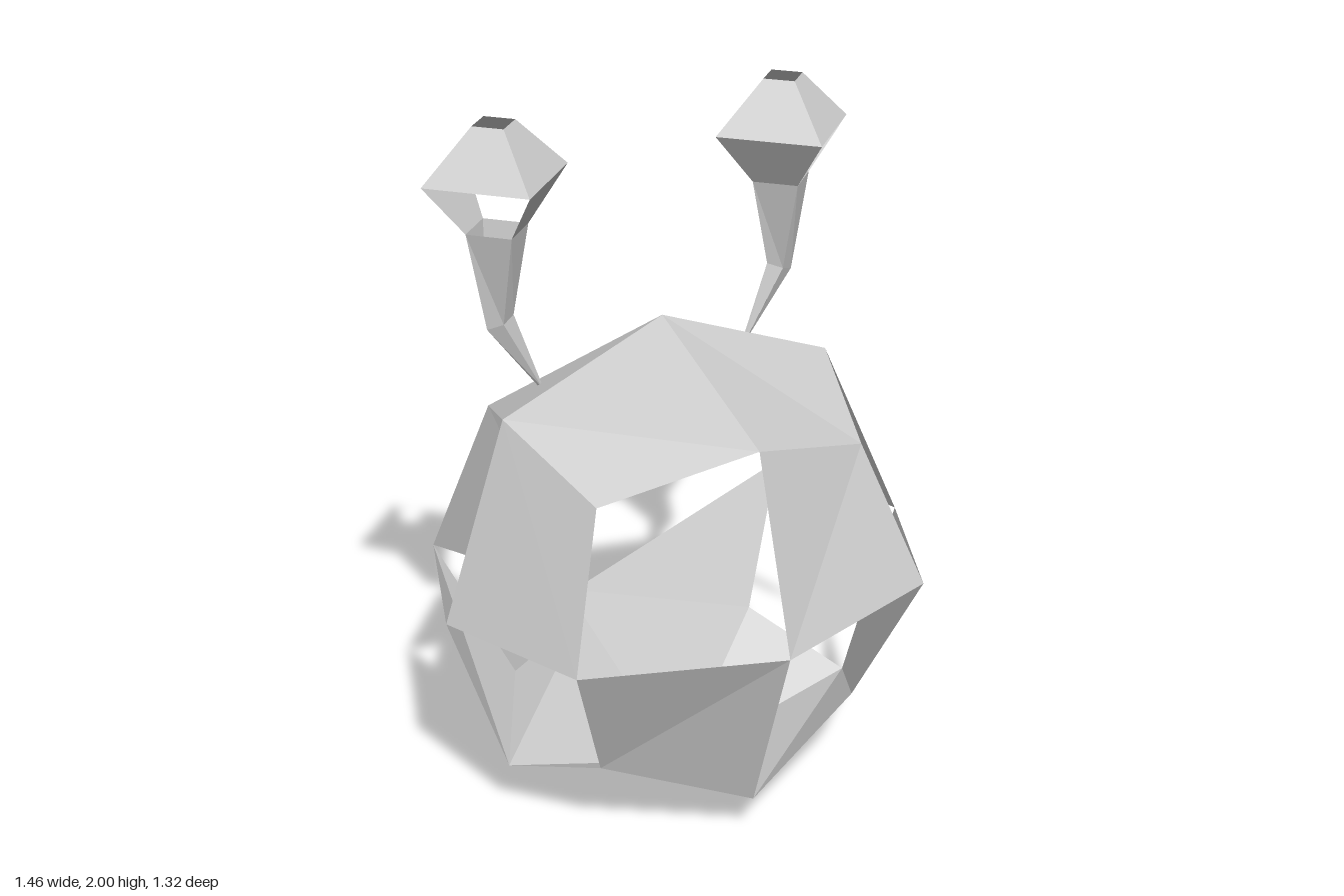
import * as THREE from 'three';

const material = new THREE.MeshStandardMaterial({ color: 0xcccccc, flatShading: true, side: THREE.DoubleSide });

// Flat-shaded mesh from a list of quads (each four [x, y, z] corners)
function quadMesh(name, quads) {
  const positions = quads.flatMap(([a, b, c, d]) => [a, b, c, a, c, d]).flat();
  const geometry = new THREE.BufferGeometry();
  geometry.setAttribute('position', new THREE.Float32BufferAttribute(positions, 3));
  geometry.computeVertexNormals();
  const mesh = new THREE.Mesh(geometry, material);
  mesh.name = name;
  return mesh;
}

// Right half of a rounded 3x3x3 cage, keyed by grid place "x,y,z"
const cage = {
  '0,0,1': [0, 0.68, 0.66], '0,1,1': [0, 1.22, 0.48], '0,-1,1': [0, 0.13, 0.48],
  '1,0,1': [0.545, 0.68, 0.48], '1,1,1': [0.41, 1.09, 0.34], '1,-1,1': [0.41, 0.28, 0.34],
  '0,1,0': [0, 1.41, -0.06], '1,1,0': [0.51, 1.22, -0.02],
  '1,0,0': [0.73, 0.68, 0.05], '1,-1,0': [0.56, 0.17, 0.055], '0,-1,0': [0, 0, 0.04],
  '0,1,-1': [0, 1.24, -0.3], '1,1,-1': [0.42, 1.12, -0.32], '1,0,-1': [0.58, 0.68, -0.39],
  '0,0,-1': [0, 0.24, -0.66], '0,-1,-1': [0, 0.18, -0.6], '1,-1,-1': [0.4, 0.28, -0.24],
};

function cagePoint([i, j, k]) {
  const [x, y, z] = cage[[Math.abs(i), j, k].join()];
  return [i < 0 ? -x : x, y, z];
}

// Shell: full top and bottom, alternating panels around the four sides
function createBody() {
  const quads = [];
  for (let axis = 0; axis < 3; axis++)
    for (const s of [-1, 1])
      for (const p of [-1, 1])
        for (const q of [-1, 1]) {
          const sign = s * p * q;
          if (axis === 0 && sign > 0) continue;
          if (axis === 2 && sign < 0) continue;
          const place = (u, v) => {
            const g = [0, 0, 0];
            g[axis] = s;
            g[(axis + 1) % 3] = u;
            g[(axis + 2) % 3] = v;
            return cagePoint(g);
          };
          const quad = [place(0, 0), place(p, 0), place(p, q), place(0, q)];
          quads.push(sign > 0 ? quad : quad.reverse());
        }
  return quadMesh('body', quads);
}

// Four-sided rings joined into a tube; keep(level, side) leaves panels out
function ringQuads(rings, side, keep = () => true) {
  const corner = ({ x, y, rx, rz, tilt = 0 }, n) => {
    const a = (n * Math.PI) / 2;
    const c = Math.cos(a);
    return [side * (x + rx * c), y - tilt * c, -0.17 + rz * Math.sin(a)];
  };
  const quads = [];
  for (let i = 0; i < rings.length - 1; i++)
    for (let n = 0; n < 4; n++) {
      if (!keep(i, n)) continue;
      const quad = [corner(rings[i], n), corner(rings[i + 1], n),
        corner(rings[i + 1], n + 1), corner(rings[i], n + 1)];
      quads.push(side > 0 ? quad : quad.reverse());
    }
  return quads;
}

function createAntenna(name, side) {
  const antenna = new THREE.Group();
  antenna.name = name;
  // Bent stalk, thinning to its root
  const stalk = [
    { x: 0.325, y: 1.22, rx: 0.006, rz: 0.006 },
    { x: 0.44, y: 1.435, rx: 0.04, rz: 0.022, tilt: 0.015 },
    { x: 0.44, y: 1.705, rx: 0.092, rz: 0.092 },
  ];
  // Open bulb with two opposite panels missing underneath
  const bulb = [
    { x: 0.44, y: 1.705, rx: 0.092, rz: 0.092 },
    { x: 0.44, y: 1.855, rx: 0.213, rz: 0.213 },
    { x: 0.44, y: 2, rx: 0.063, rz: 0.063 },
  ];
  antenna.add(
    quadMesh('stalk', ringQuads(stalk, side)),
    quadMesh('bulb', ringQuads(bulb, side, (level, n) => level > 0 || n % 2 === 1)),
  );
  return antenna;
}

export function createModel() {
  const model = new THREE.Group();
  model.name = 'antennaeCreature';
  model.add(createBody(), createAntenna('leftAntenna', 1), createAntenna('rightAntenna', -1));
  return model;
}
